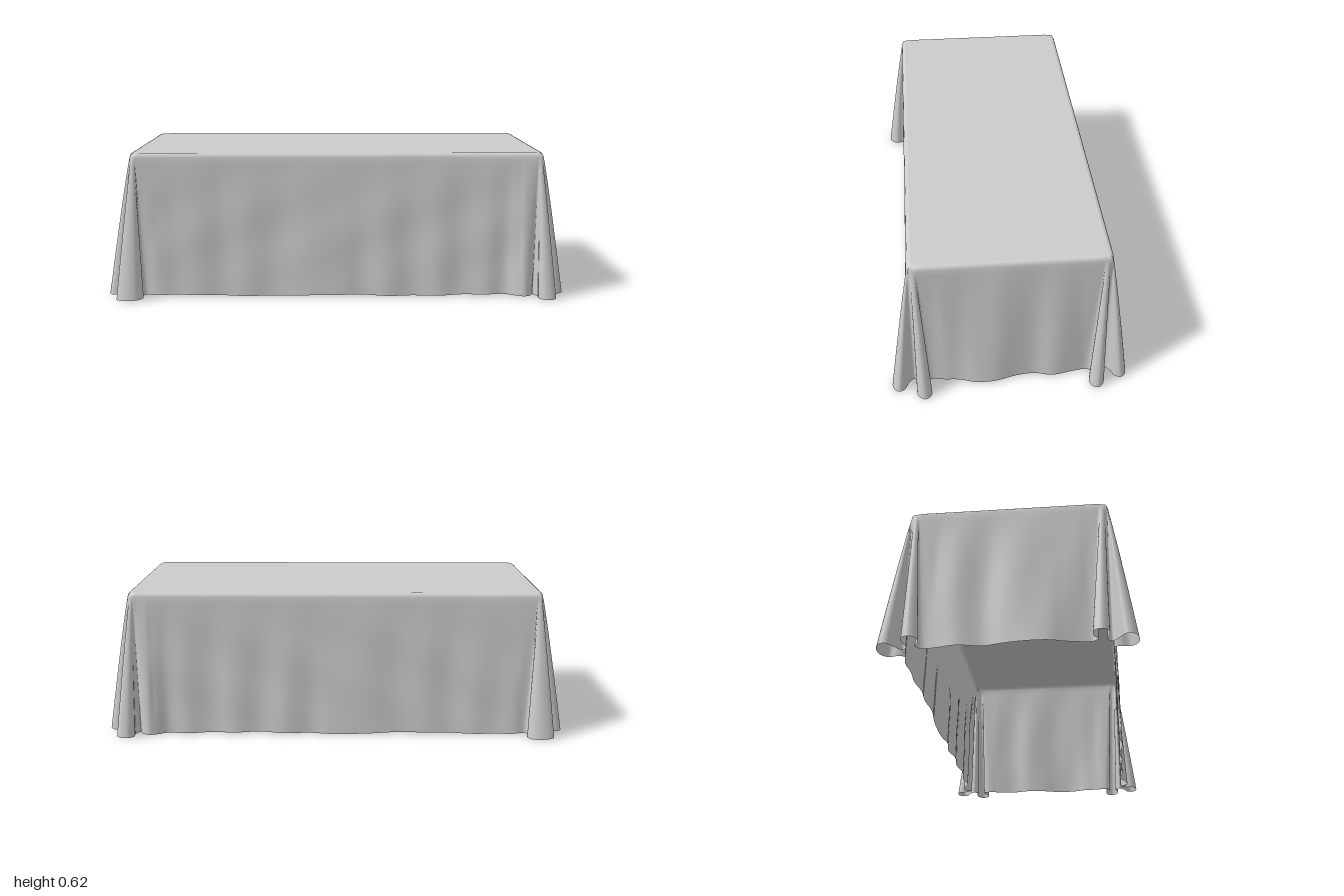
import * as THREE from 'three';

const TOP_X = 0.89, TOP_Z = 0.4, HEIGHT = 0.625;
const AROUND = 560, DROP = 24;

// Hem outline of the corner folds (x, z), from the long wall round to the short wall
const rightFolds = [
  [0.855, 0.404], [0.872, 0.435], [0.872, 0.465], [0.895, 0.486], [0.93, 0.482], [0.948, 0.46], [0.935, 0.435],
  [0.905, 0.42], [0.886, 0.396], [0.91, 0.376], [0.94, 0.386], [0.975, 0.383], [0.996, 0.358], [0.982, 0.33],
  [0.945, 0.327], [0.912, 0.345], [0.893, 0.325],
];
const leftFolds = [
  [0.835, 0.402], [0.842, 0.43], [0.835, 0.462], [0.86, 0.492], [0.905, 0.496], [0.945, 0.478], [0.948, 0.448],
  [0.915, 0.422], [0.888, 0.396], [0.915, 0.378], [0.95, 0.388], [0.985, 0.383], [1.0, 0.358], [0.985, 0.33],
  [0.945, 0.328], [0.915, 0.345], [0.895, 0.325],
];
// Hem outline of the walls (x, z)
const longWall = [
  [-0.78, 0.412], [-0.7, 0.407], [-0.6, 0.413], [-0.5, 0.404], [-0.4, 0.412], [-0.28, 0.404], [-0.15, 0.417],
  [0.02, 0.417], [0.11, 0.405], [0.22, 0.421], [0.33, 0.405], [0.44, 0.418], [0.54, 0.404], [0.65, 0.416],
  [0.73, 0.406], [0.78, 0.43], [0.815, 0.44], [0.842, 0.425],
];
const rightWall = [
  [0.9, 0.27], [0.906, 0.21], [0.926, 0.14], [0.926, 0.06], [0.906, -0.02], [0.898, -0.1], [0.914, -0.18], [0.898, -0.27],
];
const leftWall = [
  [-0.897, -0.28], [-0.915, -0.19], [-0.9, -0.09], [-0.918, -0.01], [-0.93, 0.08], [-0.928, 0.16], [-0.91, 0.22], [-0.897, 0.28],
];

// Pair each hem point with the point on the table edge it hangs from
const clamp = THREE.MathUtils.clamp;
const wall = (points) => points.map(([x, z]) => ({
  hem: [x, z],
  top: Math.abs(z) > 0.33 ? [clamp(x, -0.85, 0.85), Math.sign(z) * TOP_Z] : [Math.sign(x) * TOP_X, z],
}));
const corner = (points, side) => points.map(([x, z], i) => {
  const u = i / (points.length - 1) * 2 - 1;
  return {
    hem: [side * x, z],
    top: [side * (u < 0 ? TOP_X - 0.006 + 0.022 * u : TOP_X - 0.006 * (1 - u)),
      u < 0 ? TOP_Z + 0.006 * (-u - 1) : TOP_Z - 0.006 - 0.034 * u],
  };
});

function clothOutline() {
  const front = [...corner(leftFolds, -1).reverse(), ...wall(longWall), ...corner(rightFolds, 1)];
  const back = front.map(({ hem, top }) => ({ hem: [hem[0], -hem[1]], top: [top[0], -top[1]] })).reverse();
  const all = [...front, ...wall(rightWall), ...back, ...wall(leftWall)];
  const sample = (key) => {
    const curve = new THREE.CatmullRomCurve3(
      all.map((p) => new THREE.Vector3(p[key][0], 0, p[key][1])), true, 'centripetal');
    return Array.from({ length: AROUND }, (_, i) => curve.getPoint(i / AROUND));
  };
  return { hem: sample('hem'), top: sample('top') };
}

function geometryFrom(positions, indices) {
  const geometry = new THREE.BufferGeometry();
  geometry.setAttribute('position', new THREE.Float32BufferAttribute(positions, 3));
  geometry.setIndex(indices);
  geometry.computeVertexNormals();
  return geometry;
}

// Rounded rim followed by the hanging cloth
function skirtGeometry({ hem, top }) {
  const positions = [], indices = [];
  const rim = [[0.018, HEIGHT], [0.01, HEIGHT - 0.002], [0.004, HEIGHT - 0.007]];
  for (const [inset, y] of rim) {
    for (const p of top) positions.push(p.x * (1 - inset / TOP_X), y, p.z * (1 - inset / TOP_Z));
  }
  for (let j = 0; j <= DROP; j++) {
    const t = j / DROP, spread = Math.pow(t, 0.92);
    for (let i = 0; i < AROUND; i++) {
      const a = top[i], b = hem[i];
      let x = a.x + (b.x - a.x) * spread, z = a.z + (b.z - a.z) * spread;
      // Soft wrinkles part way down the flat walls
      const belly = Math.sin(Math.PI * t) * 0.004;
      if (Math.abs(a.x) < 0.8) z += Math.sign(z) * belly * Math.sin(a.x * 17 + t * 5) * Math.sin(a.x * 7 - t * 6);
      else if (Math.abs(a.z) < 0.3) x += Math.sign(x) * belly * Math.sin(a.z * 26 + t * 2);
      const hemY = 0.003 + 0.003 * Math.sin(b.x * 9 + b.z * 4);
      positions.push(x, (HEIGHT - 0.018) * (1 - t) + hemY * t, z);
    }
  }
  for (let j = 0; j < rim.length + DROP; j++) {
    for (let i = 0; i < AROUND; i++) {
      const n = (i + 1) % AROUND, a = j * AROUND + i, d = j * AROUND + n;
      indices.push(a, a + AROUND, d + AROUND, a, d + AROUND, d);
    }
  }
  return geometryFrom(positions, indices);
}

// Flat cloth over the table
function topGeometry({ top }) {
  const positions = [0, HEIGHT, 0], indices = [];
  top.forEach((p, i) => {
    positions.push(p.x * (1 - 0.018 / TOP_X), HEIGHT, p.z * (1 - 0.018 / TOP_Z));
    indices.push(0, i + 1, (i + 1) % AROUND + 1);
  });
  return geometryFrom(positions, indices);
}

export function createModel() {
  const group = new THREE.Group();
  group.name = 'tablecloth';
  const cloth = new THREE.MeshStandardMaterial({ color: 0xcccccc, side: THREE.DoubleSide });
  cloth.name = 'light grey cloth';
  const outline = clothOutline();
  const parts = { clothTop: topGeometry(outline), drapedSkirt: skirtGeometry(outline) };
  for (const [name, geometry] of Object.entries(parts)) {
    const mesh = new THREE.Mesh(geometry, cloth);
    mesh.name = name;
    group.add(mesh);
  }
  return group;
}
